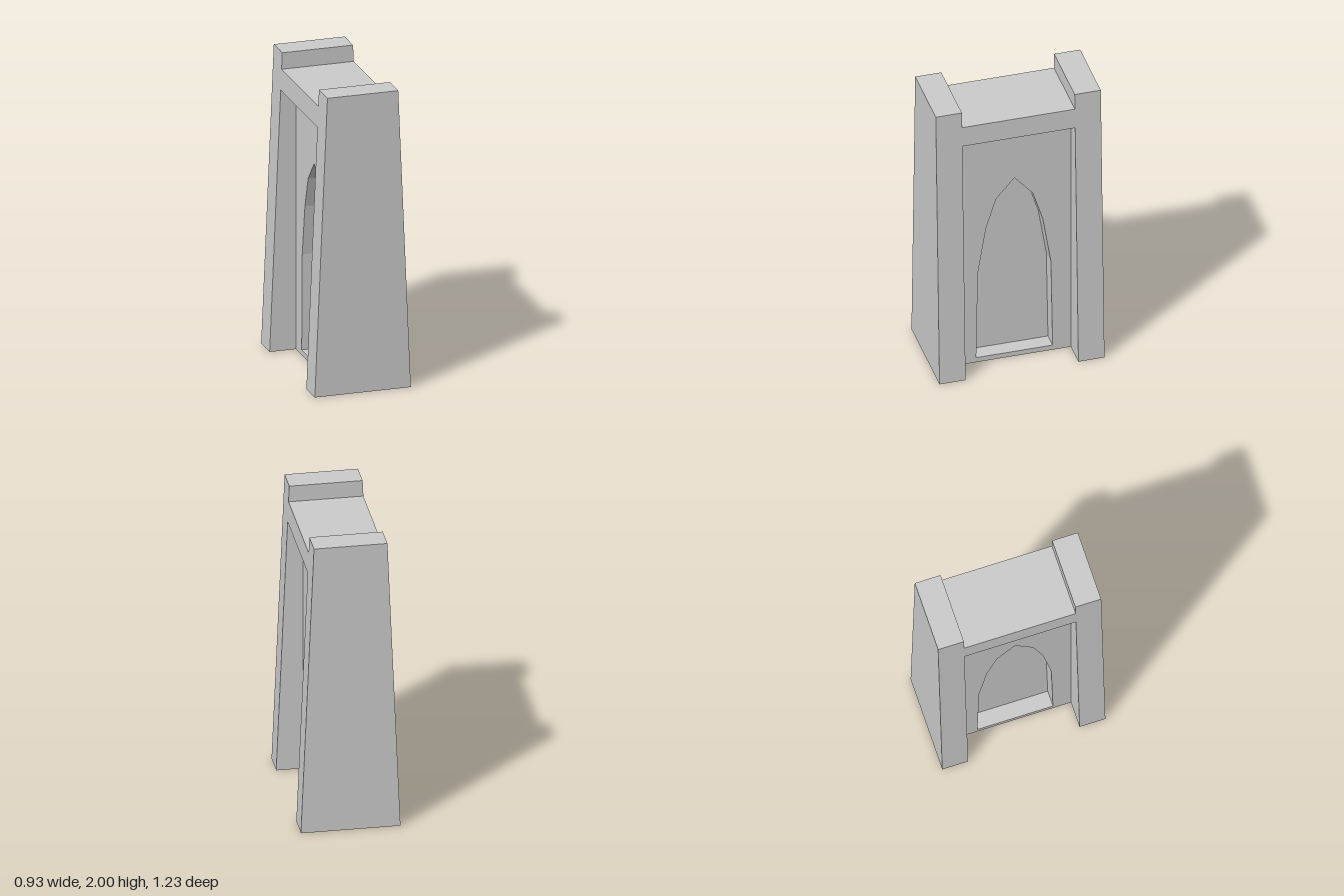
import * as THREE from 'three';

const END = 0.544, INNER = 0.372;      // outer and inner face of the end walls
const PANEL = 0.146, NICHE = 0.04;     // half thickness at panel and at niche back
const LINTEL = 1.75, ROOF = 1.89, TOP = 2;
const half = (y) => 0.32 - 0.042 * y;  // tapering half width

const material = new THREE.MeshStandardMaterial({
  color: 0xcccccc, flatShading: true, side: THREE.DoubleSide,
});

// Mesh from a list of four-cornered faces
function quadMesh(name, quads) {
  const positions = quads.flatMap(([a, b, c, d]) => [a, b, c, a, c, d].flat());
  const geometry = new THREE.BufferGeometry();
  geometry.setAttribute('position', new THREE.Float32BufferAttribute(positions, 3));
  geometry.computeVertexNormals();
  const mesh = new THREE.Mesh(geometry, material);
  mesh.name = name;
  return mesh;
}

// Flat shape standing in the plane x = const, facing +x
function sideMesh(name, shape, x) {
  const geometry = new THREE.ShapeGeometry(shape).rotateY(Math.PI / 2).translate(x, 0, 0);
  const mesh = new THREE.Mesh(geometry, material);
  mesh.name = name;
  return mesh;
}

// Tapered end wall, open underneath
function endWall() {
  const b = half(0), t = half(TOP), l = half(LINTEL), r = half(ROOF);
  return quadMesh('endWall', [
    [[-b, 0, END], [b, 0, END], [t, TOP, END], [-t, TOP, END]],
    [[-t, TOP, END], [t, TOP, END], [t, TOP, INNER], [-t, TOP, INNER]],
    [[b, 0, END], [b, 0, INNER], [t, TOP, INNER], [t, TOP, END]],
    [[-b, 0, INNER], [-b, 0, END], [-t, TOP, END], [-t, TOP, INNER]],
    [[b, 0, INNER], [PANEL, 0, INNER], [PANEL, LINTEL, INNER], [l, LINTEL, INNER]],
    [[-PANEL, 0, INNER], [-b, 0, INNER], [-l, LINTEL, INNER], [-PANEL, LINTEL, INNER]],
    [[r, ROOF, INNER], [-r, ROOF, INNER], [-t, TOP, INNER], [t, TOP, INNER]],
  ]);
}

// Lintel face and soffit above the recess
function lintel() {
  const l = half(LINTEL), r = half(ROOF);
  return quadMesh('lintel', [
    [[l, LINTEL, INNER], [l, LINTEL, -INNER], [r, ROOF, -INNER], [r, ROOF, INNER]],
    [[PANEL, LINTEL, -INNER], [l, LINTEL, -INNER], [l, LINTEL, INNER], [PANEL, LINTEL, INNER]],
  ]);
}

// Recessed side panel with a pointed-arch niche
function sidePanel() {
  const group = new THREE.Group();
  group.name = 'sidePanel';
  const edge = [[0.252, 0.035], [0.241, 0.68], [0.187, 1.02], [0.121, 1.23]];
  const arch = [...edge, [0, 1.37], ...edge.map(([x, y]) => [-x, y]).reverse()]
    .map(([x, y]) => new THREE.Vector2(x, y));

  const panel = new THREE.Shape([
    new THREE.Vector2(-INNER, 0), new THREE.Vector2(INNER, 0),
    new THREE.Vector2(INNER, LINTEL), new THREE.Vector2(-INNER, LINTEL),
  ]);
  panel.holes.push(new THREE.Path(arch));

  const reveal = arch.map((a, i) => {
    const b = arch[(i + 1) % arch.length];
    return [[PANEL, a.y, -a.x], [PANEL, b.y, -b.x], [NICHE, b.y, -b.x], [NICHE, a.y, -a.x]];
  });
  group.add(
    sideMesh('panel', panel, PANEL),
    quadMesh('nicheReveal', reveal),
    sideMesh('nicheBack', new THREE.Shape(arch), NICHE),
  );
  return group;
}

export function createModel() {
  const model = new THREE.Group();
  model.name = 'pier';
  const body = new THREE.Group();
  body.name = 'body';
  body.rotation.y = 0.298;
  model.add(body);

  // Both halves are the same, turned half a circle
  for (const turn of [0, Math.PI]) {
    const side = new THREE.Group();
    side.name = turn ? 'backHalf' : 'frontHalf';
    side.rotation.y = turn;
    side.add(endWall(), lintel(), sidePanel());
    body.add(side);
  }

  // Flat roof between the end walls
  const r = half(ROOF);
  body.add(quadMesh('roof', [
    [[-r, ROOF, INNER], [r, ROOF, INNER], [r, ROOF, -INNER], [-r, ROOF, -INNER]],
  ]));
  return model;
}
